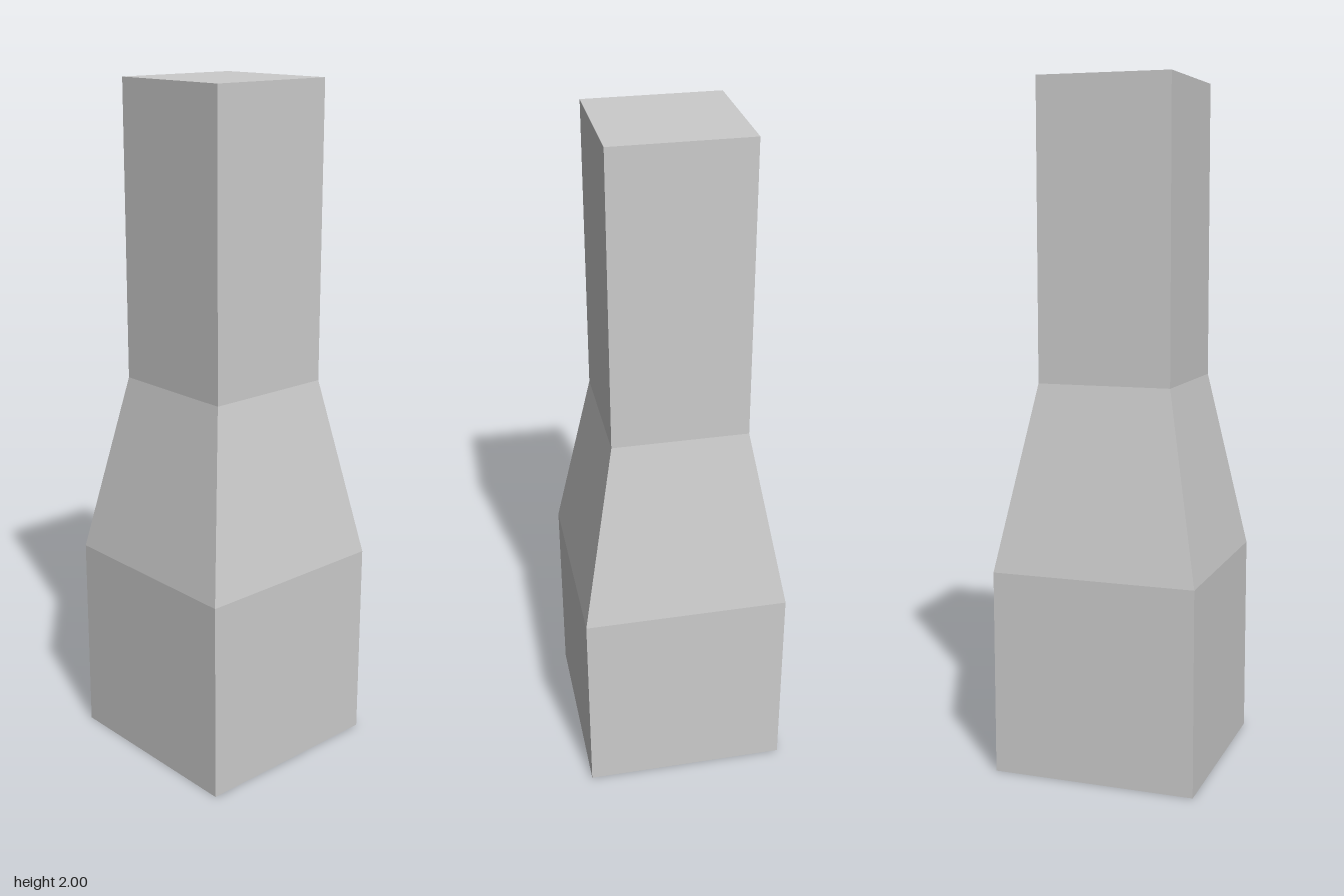
import * as THREE from 'three';

const BASE = 0.3;   // half width of the base
const NECK = 0.197; // half width of the neck

// Square-sided section from a profile of [half width, height] points, bottom to top
function squareSection(name, profile, material) {
  const points = profile.map(([half, y]) => new THREE.Vector2(half * Math.SQRT2, y));
  const geometry = new THREE.LatheGeometry(points, 4, Math.PI / 4).toNonIndexed();
  geometry.computeVertexNormals();
  const mesh = new THREE.Mesh(geometry, material);
  mesh.name = name;
  return mesh;
}

export function createModel() {
  const group = new THREE.Group();
  group.name = 'taperedPost';
  const material = new THREE.MeshStandardMaterial({ color: 0xcccccc, flatShading: true });

  group.add(
    // Wide base, closed underneath
    squareSection('base', [[0, 0], [BASE, 0], [BASE, 0.6]], material),
    // Sloping shoulder between base and neck
    squareSection('shoulder', [[BASE, 0.6], [NECK, 1.14]], material),
    // Narrow neck, closed on top
    squareSection('neck', [[NECK, 1.14], [NECK, 2], [0, 2]], material),
  );
  return group;
}
